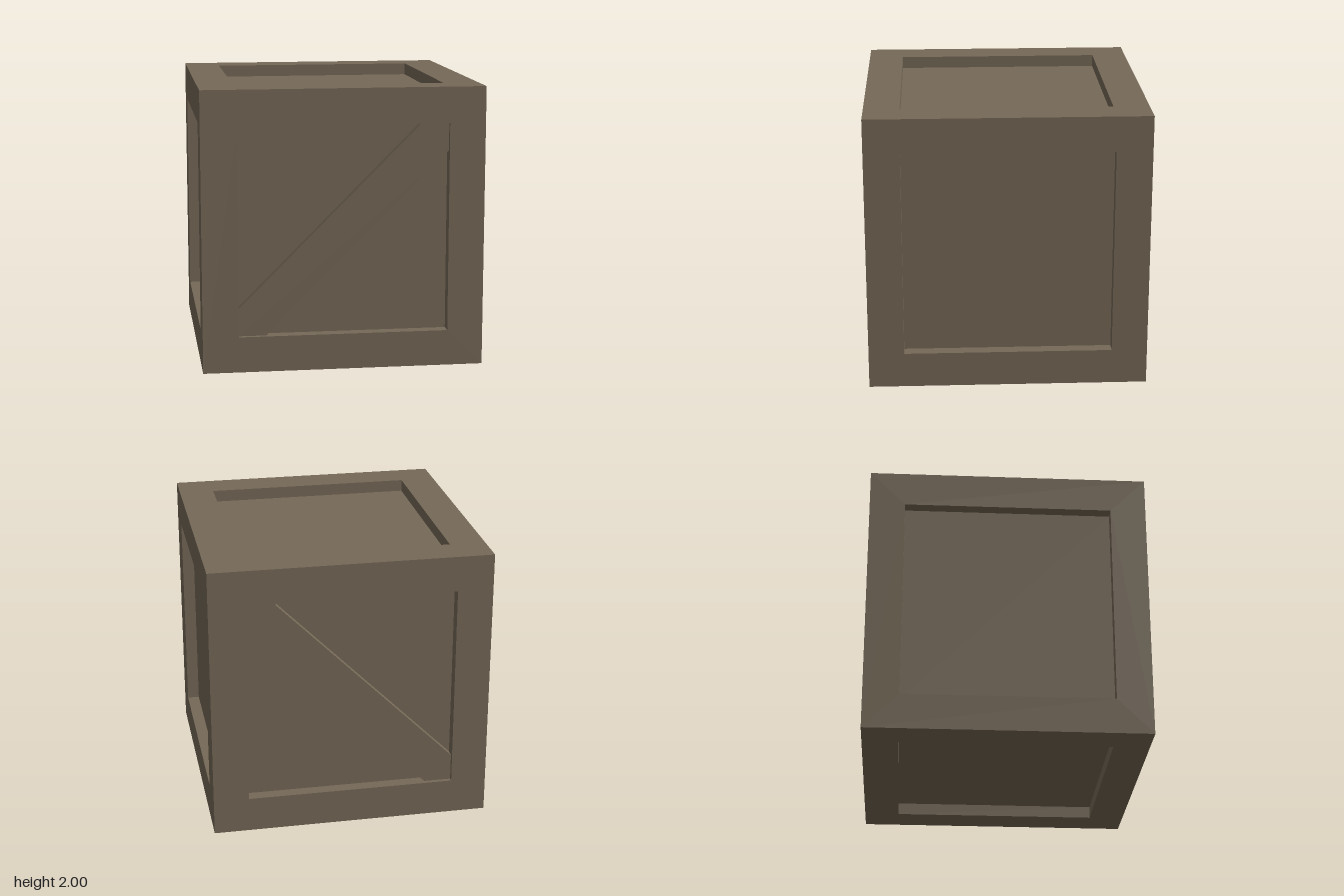
import * as THREE from 'three';

const HALF = 1;         // half the crate's edge
const OPEN = 0.745;     // half the recessed opening
const DEPTH = 0.087;    // panel recess
const BRACE_INSET = 0.03;
const BRACE = 0.195;    // brace half-width measured along an opening edge

const polygon = (pts) => new THREE.Shape(pts.map(([x, y]) => new THREE.Vector2(x, y)));
const square = (s) => polygon([[-s, -s], [s, -s], [s, s], [-s, s]]);

export function createModel() {
  const wood = new THREE.MeshStandardMaterial({ color: 0x766957 });
  wood.name = 'brown wood';

  const add = (parent, name, geometry, z) => {
    const mesh = new THREE.Mesh(geometry, wood);
    mesh.name = name;
    mesh.position.z = z;
    parent.add(mesh);
  };

  // Square frame face with a hole
  const frameShape = square(HALF);
  frameShape.holes.push(square(OPEN));
  const frame = new THREE.ShapeGeometry(frameShape);

  // Four inward-facing walls of the recess
  const lining = new THREE.CylinderGeometry(OPEN * Math.SQRT2, OPEN * Math.SQRT2, DEPTH, 4, 1, true)
    .rotateY(Math.PI / 4).rotateX(Math.PI / 2).scale(-1, 1, 1).toNonIndexed();
  lining.computeVertexNormals();

  const panel = new THREE.PlaneGeometry(2 * OPEN, 2 * OPEN);

  // Diagonal board cut to the corners of the opening; dir mirrors it
  const brace = (dir) => {
    const a = OPEN, b = OPEN - BRACE;
    const pts = [[-a, -a], [-b, -a], [a, b], [a, a], [b, a], [-a, -b]];
    return new THREE.ExtrudeGeometry(polygon(pts.map(([x, y]) => [x * dir, y])),
      { depth: DEPTH - BRACE_INSET, bevelEnabled: false });
  };

  const crate = new THREE.Group();
  crate.name = 'crate';
  const H = Math.PI / 2;
  const sides = [
    ['front', 0, 0, 1],
    ['back', 0, 2 * H, -1],
    ['left', 0, H, 0],
    ['right', 0, -H, 0],
    ['top', -H, 0, 0],
    ['bottom', H, 0, 0],
  ];
  for (const [name, rx, ry, braceDir] of sides) {
    const side = new THREE.Group();
    side.name = name + 'Side';
    side.rotation.set(rx, ry, 0);
    add(side, name + 'Frame', frame, HALF);
    add(side, name + 'RecessWalls', lining, HALF - DEPTH / 2);
    add(side, name + 'Panel', panel, HALF - DEPTH);
    if (braceDir) add(side, name + 'Brace', brace(braceDir), HALF - DEPTH);
    crate.add(side);
  }
  crate.position.y = HALF;

  const model = new THREE.Group();
  model.add(crate);
  return model;
}
